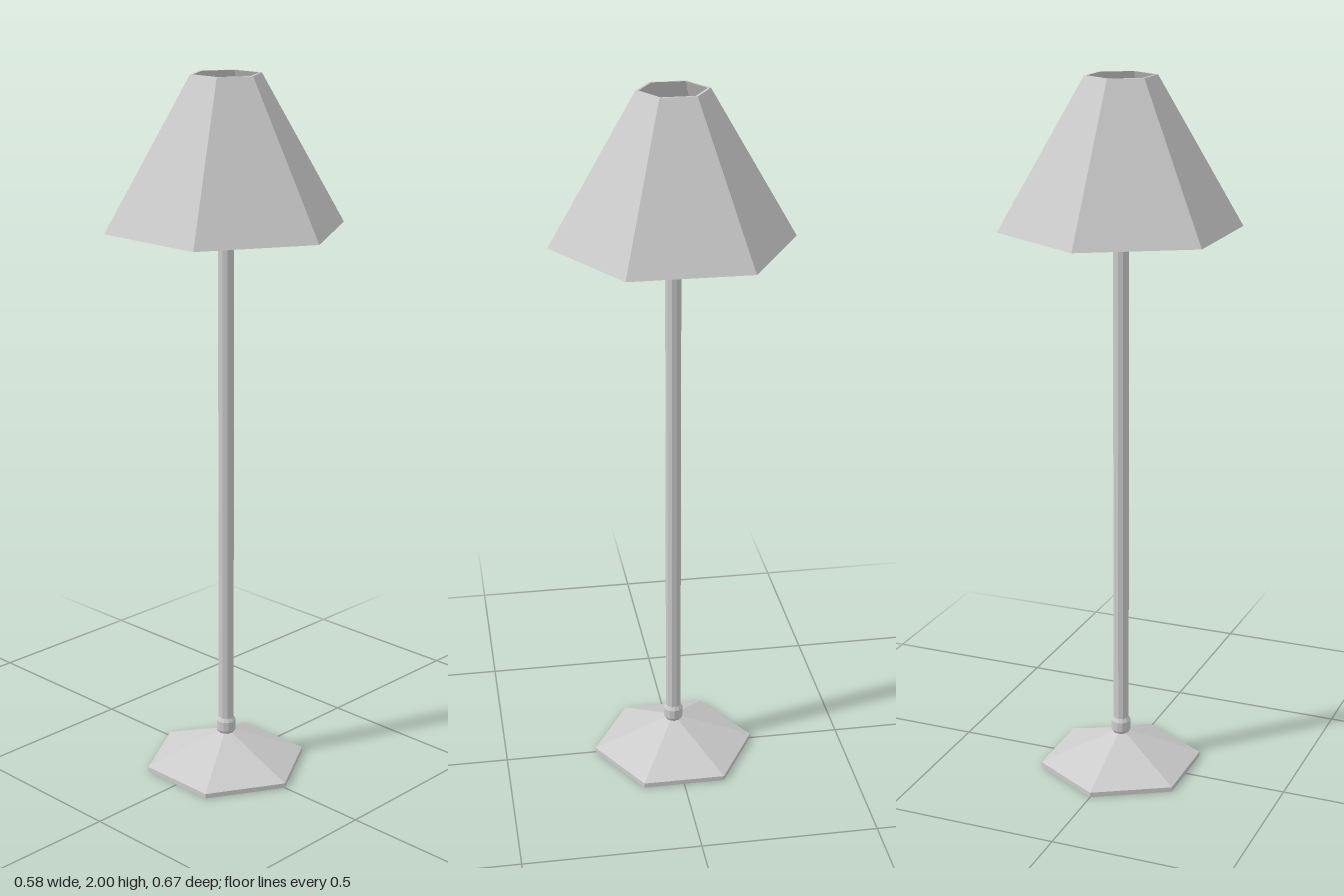
import * as THREE from 'three';

const material = new THREE.MeshStandardMaterial({ color: 0xcccccc, flatShading: true });

// Faceted solid of revolution; profile is [radius, y] pairs, outside running upwards
function turned(name, sides, profile) {
  const points = profile.map(([r, y]) => new THREE.Vector2(r, y));
  const geometry = new THREE.LatheGeometry(points, sides).toNonIndexed();
  geometry.computeVertexNormals();
  const mesh = new THREE.Mesh(geometry, material);
  mesh.name = name;
  return mesh;
}

// Small bulging ring around the pole
function collar(name, y, height, radius) {
  return turned(name, 12, [
    [0.02, y], [radius, y + height * 0.25], [radius, y + height * 0.75], [0.02, y + height],
  ]);
}

export function createModel() {
  const lamp = new THREE.Group();
  lamp.name = 'floorLamp';

  // Six-sided sloping foot with a thin upright rim
  lamp.add(turned('base', 6, [[0, 0], [0.235, 0], [0.235, 0.014], [0.02, 0.102], [0, 0.102]]));

  // Pole and its two collars
  lamp.add(turned('pole', 10, [[0, 0.09], [0.022, 0.09], [0.022, 1.69], [0, 1.69]]));
  lamp.add(collar('lowerCollar', 0.095, 0.055, 0.028));
  lamp.add(collar('upperCollar', 1.615, 0.05, 0.037));

  // Socket and bulb inside the shade
  lamp.add(turned('socket', 12, [[0, 1.66], [0.027, 1.66], [0.027, 1.71], [0, 1.71]]));
  lamp.add(turned('bulb', 12, [
    [0, 1.7], [0.027, 1.7], [0.048, 1.75], [0.048, 1.77], [0.042, 1.79], [0.012, 1.825], [0, 1.825],
  ]));

  // Hollow six-sided shade, open at both ends
  lamp.add(turned('shade', 6, [
    [0.335, 1.59], [0.098, 2], [0.09, 2], [0.315, 1.59], [0.335, 1.59],
  ]));

  return lamp;
}
